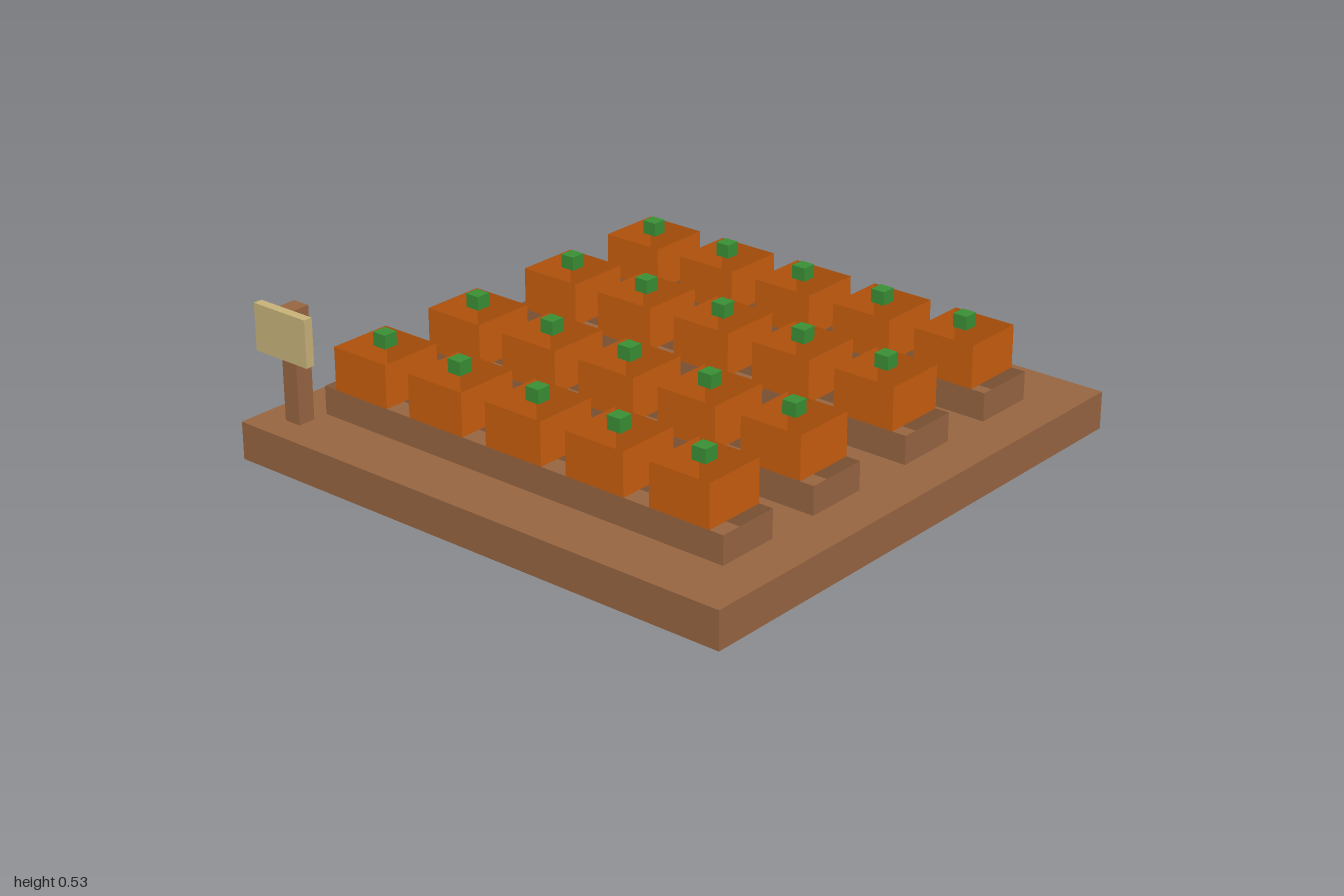
import * as THREE from 'three';

const paint = (name, color) => {
  const m = new THREE.MeshStandardMaterial({ color, side: THREE.DoubleSide });
  m.name = name;
  return m;
};

// Box given by its limits; open sides ('top', 'bottom') are left out
function box(name, material, [x0, x1], [y0, y1], [z0, z1], open = []) {
  const g = new THREE.BoxGeometry(x1 - x0, y1 - y0, z1 - z0);
  g.translate((x0 + x1) / 2, (y0 + y1) / 2, (z0 + z1) / 2);
  const index = Array.from(g.index.array);
  if (open.includes('bottom')) index.splice(18, 6);
  if (open.includes('top')) index.splice(12, 6);
  g.setIndex(index);
  g.clearGroups();
  const mesh = new THREE.Mesh(g, material);
  mesh.name = name;
  return mesh;
}

const around = (c, size) => [c - size / 2, c + size / 2];

export function createModel() {
  const soil = paint('soil brown', 0x976541);
  const orange = paint('pumpkin orange', 0xc95e0e);
  const green = paint('stem green', 0x3a8f35);
  const tan = paint('sign tan', 0xc8b27a);

  const model = new THREE.Group();
  model.name = 'pumpkinPatch';

  // Ground slab, hollow underneath
  model.add(box('ground', soil, [-1, 1], [0, 0.133], [-1, 1], ['bottom']));

  // Four raised rows, each with five hollow pumpkins
  for (const z of [-0.665, -0.235, 0.235, 0.665]) {
    const row = new THREE.Group();
    row.name = 'plantingRow';
    row.add(box('bed', soil, [-0.835, 0.835], [0.133, 0.233], around(z, 0.232), ['top', 'bottom']));
    for (let i = -2; i <= 2; i++) {
      const x = i / 3;
      row.add(box('pumpkin', orange, around(x, 0.232), [0.233, 0.385], around(z, 0.232), ['top', 'bottom']));
      row.add(box('stem', green, around(x, 0.053), [0.385, 0.433], around(z, 0.053)));
    }
    model.add(row);
  }

  // Sign on a post at the front corner
  const sign = new THREE.Group();
  sign.name = 'sign';
  sign.add(box('signPost', soil, [-0.9, -0.835], [0.133, 0.533], [0.835, 0.9], ['bottom']));
  sign.add(box('signBoard', tan, [-0.983, -0.75], [0.367, 0.533], [0.9, 0.933]));
  model.add(sign);

  return model;
}
